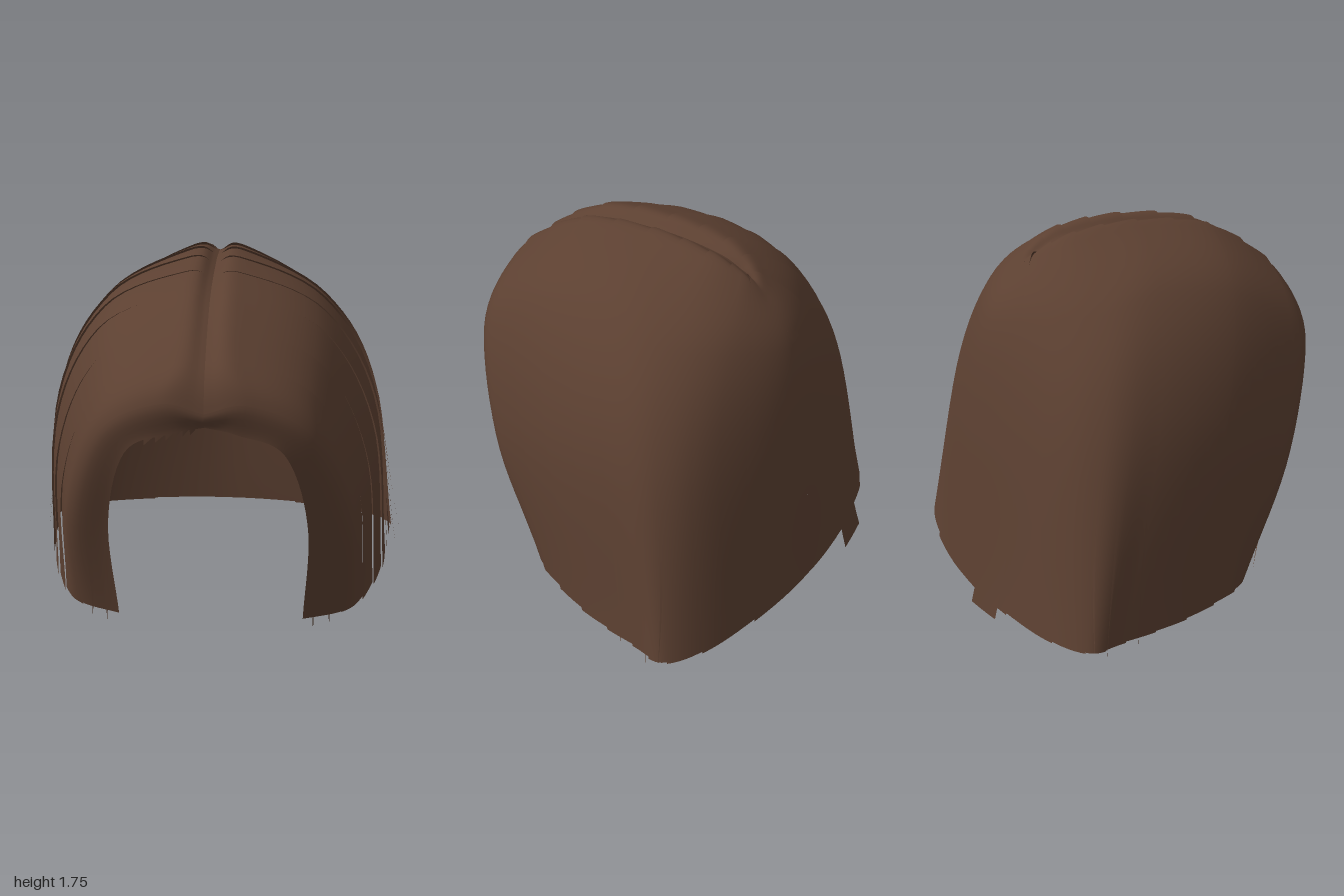
import * as THREE from 'three';

// Guide strands of the left half, front hairline to back centre; each runs from parting to hem.
const GUIDES = [
  [[0, 1.19, .86], [.15, 1.16, .87], [.36, 1.05, .84], [.47, .6, .67], [.46, 0, .48]],
  [[0, 1.27, .9], [.2, 1.31, .895], [.48, 1.13, .82], [.65, .6, .63], [.65, 0, .4]],
  [[0, 1.45, .81], [.15, 1.47, .8], [.49, 1.28, .71], [.7, .75, .53], [.76, 0, .27]],
  [[0, 1.65, .48], [.14, 1.67, .47], [.53, 1.46, .36], [.79, .9, .18], [.88, 0, -.07]],
  [[0, 1.7, .06], [.13, 1.73, .07], [.53, 1.51, -.03], [.81, .98, -.18], [.93, 0, -.42]],
  [[0, 1.68, -.25], [.13, 1.7, -.25], [.52, 1.44, -.32], [.77, .95, -.45], [.93, 0, -.62]],
  [[0, 1.635, -.385], [.08, 1.63, -.43], [.33, 1.4, -.54], [.54, .9, -.64], [.62, 0, -.77]],
  [[0, 1.62, -.42], [0, 1.56, -.51], [0, 1.33, -.68], [0, .85, -.78], [0, 0, -.855]],
];
const LAST = GUIDES.length - 1;

const spline = (pts) => new THREE.CatmullRomCurve3(pts, false, 'catmullrom', 0.5);
const strands = GUIDES.map((g) => spline(g.map((p) => new THREE.Vector3(...p))));

// Ring across all strands at height parameter v, continued past the back centre for a smooth join
const rings = new Map();
function ring(v) {
  const key = v.toFixed(5);
  if (!rings.has(key)) {
    const pts = strands.map((s) => s.getPoint(v));
    const m = pts[LAST - 1];
    rings.set(key, spline([...pts, new THREE.Vector3(-m.x, m.y, m.z)]));
  }
  return rings.get(key);
}
const surface = (u, v) => ring(v).getPoint(u / (LAST + 1));

function surfaceNormal(u, v) {
  const e = 0.02;
  const vc = Math.max(0.03, v);
  const dv = surface(u, Math.min(1, vc + e)).sub(surface(u, vc - e));
  const du = surface(u + e, vc).sub(surface(Math.max(0, u - e), vc));
  return dv.cross(du).normalize();
}

// Sheet over the hair surface: at(s, t) gives { u, v, lift, push } for s, t in 0..1
function sheet(at, side, cols, rows) {
  const pos = [], nor = [], idx = [];
  for (let j = 0; j <= rows; j++) {
    for (let i = 0; i <= cols; i++) {
      const { u, v, lift, push } = at(i / cols, j / rows);
      const n = surfaceNormal(u, v);
      const p = surface(u, v).addScaledVector(n, lift);
      if (push) p.add(push);
      pos.push(side * Math.max(0, p.x), Math.max(0, p.y), p.z);
      nor.push(side * n.x, n.y, n.z);
    }
  }
  const w = cols + 1;
  for (let j = 0; j < rows; j++) {
    for (let i = 0; i < cols; i++) {
      const a = j * w + i, b = a + 1, c = a + w, d = c + 1;
      if (side > 0) idx.push(a, c, b, b, c, d);
      else idx.push(a, b, c, b, d, c);
    }
  }
  const geo = new THREE.BufferGeometry();
  geo.setAttribute('position', new THREE.Float32BufferAttribute(pos, 3));
  geo.setAttribute('normal', new THREE.Float32BufferAttribute(nor, 3));
  geo.setIndex(idx);
  return geo;
}

export function createModel() {
  const group = new THREE.Group();
  group.name = 'bobbedHair';
  const hair = new THREE.MeshStandardMaterial({ color: 0x5c4031, side: THREE.DoubleSide });
  hair.name = 'brownHair';
  const add = (name, geo) => {
    const mesh = new THREE.Mesh(geo, hair);
    mesh.name = name;
    group.add(mesh);
  };

  // Where one lock ends and the next begins
  const seams = [0, 1, 2, 2.5, 3, 3.5, 4, 4.5, 5, 5.6, 6.3, LAST];

  for (const side of [1, -1]) {
    const label = side > 0 ? 'left' : 'right';

    // Overlapping locks: front edge lies on top, back edge tucks under the next lock
    for (let k = 0; k < seams.length - 1; k++) {
      const overlap = k < seams.length - 2 ? 1.1 : 1;
      const width = (seams[k + 1] - seams[k]) * overlap;
      add(`${label}Lock${k + 1}`, sheet((s, t) => ({
        u: seams[k] + s * width,
        v: t,
        lift: (k === 0 ? 0 : 0.006) * (1 - 2 * s) * Math.min(1, t * 6),
      }), side, 6, 30));
    }

    // Loose wisps that taper outwards to the hem: strand, start, half width, tip offset
    const wisps = [
      [4.6, .75, .06, [.046, 0, 0]],
      [4.05, .74, .06, [.035, 0, .06]],
      [5.05, .78, .05, [.04, 0, .04]],
      [.15, .7, .13, [.02, 0, .07]],
      [.5, .77, .1, [.03, 0, .05]],
    ];
    wisps.forEach(([u, v0, half, tip], i) => {
      add(`${label}Wisp${i + 1}`, sheet((s, t) => ({
        u: u + (s - 0.5) * 2 * half * (1 - 0.95 * t),
        v: v0 + (1 - v0) * t,
        lift: 0.004,
        push: new THREE.Vector3(...tip).multiplyScalar(t * t),
      }), side, 2, 10));
    });
  }

  // One lock at the back that kicks out towards the hem
  add('backFlickLock', sheet((s, t) => ({
    u: 6.28 + s * 0.32,
    v: 0.75 + 0.25 * t,
    lift: 0.003 + 0.075 * t * t,
  }), -1, 5, 14));

  // Short ragged tufts along the right fringe
  for (let i = 0; i < 6; i++) {
    const v0 = 0.06 + i * 0.055;
    add(`fringeTuft${i + 1}`, sheet((s, t) => ({
      u: 0.02,
      v: v0 + s * 0.05 * (1 - t) + t * 0.05,
      lift: 0,
      push: new THREE.Vector3(0, -0.03 * t, 0),
    }), -1, 2, 2));
  }
  return group;
}
